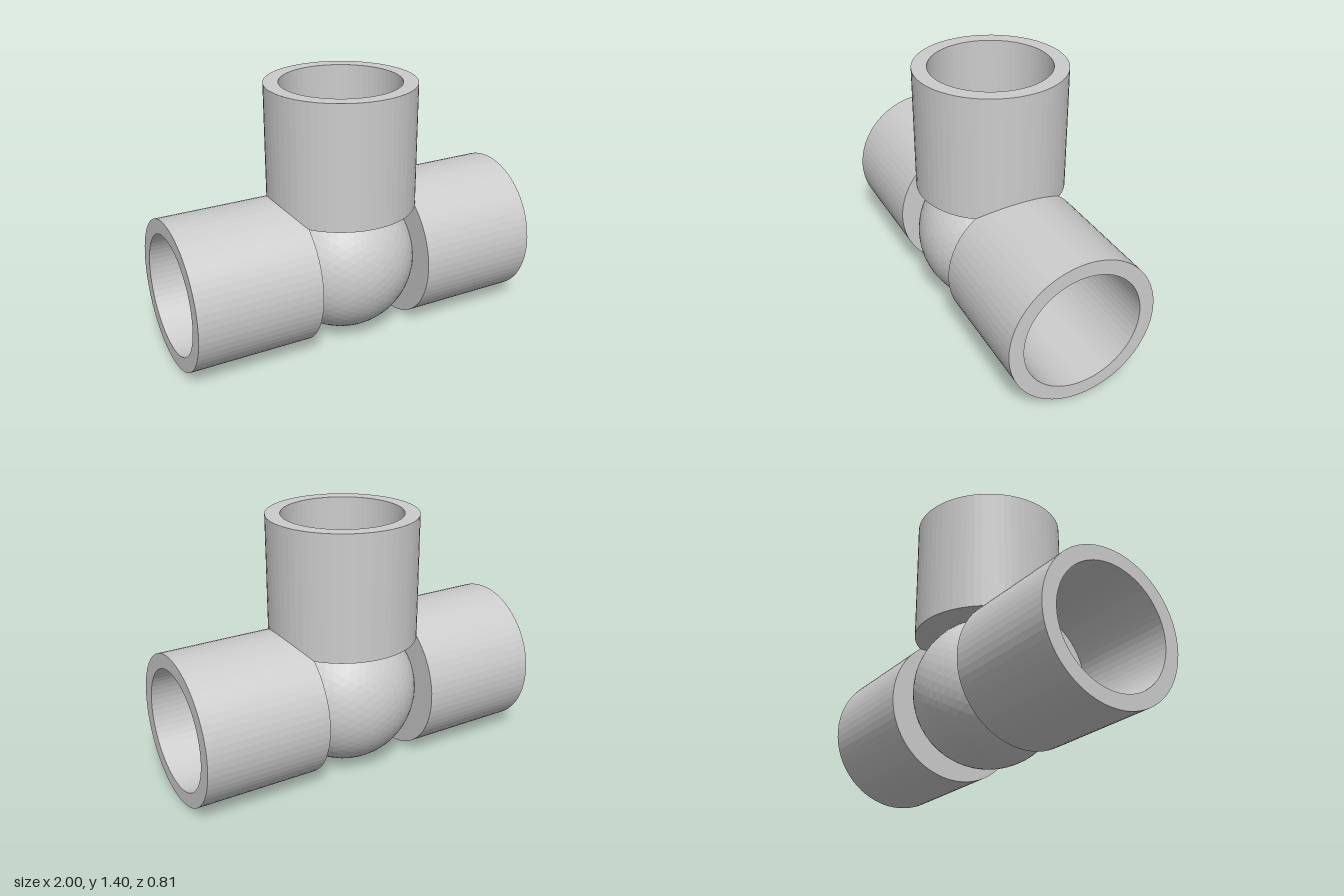
import * as THREE from 'three';

const OUTER = 0.405; // pipe and ball radius
const BORE = 0.325; // socket radius
const START = 0.32; // arm start, measured from the ball centre
const FLOOR = 0.405; // closed bottom of each socket
const END = 1; // open rim

export function createModel() {
  const material = new THREE.MeshStandardMaterial({ color: 0xcccccc, flatShading: true });
  const model = new THREE.Group();
  model.name = 'pipeTeeConnector';

  // Socket cross-section: solid base, outer wall, rim, bore and floor
  const profile = [
    [0, START], [OUTER, START], [OUTER, END], [BORE, END], [BORE, FLOOR], [0, FLOOR],
  ].map(([r, y]) => new THREE.Vector2(r, y));
  const socketGeometry = new THREE.LatheGeometry(profile, 64);

  // Three identical sockets radiating from the ball centre
  const arms = [
    ['topSocket', 0],
    ['leftSocket', -Math.PI / 2],
    ['rightSocket', Math.PI / 2],
  ];
  for (const [name, angle] of arms) {
    const socket = new THREE.Mesh(socketGeometry, material);
    socket.name = name;
    socket.position.y = OUTER;
    socket.rotation.z = angle;
    model.add(socket);
  }

  // Faceted ball joining the arms, kept just clear of the socket floors
  const ball = new THREE.Mesh(new THREE.IcosahedronGeometry(OUTER - 0.001, 9), material);
  ball.name = 'centreBall';
  ball.position.y = OUTER;
  model.add(ball);

  return model;
}
